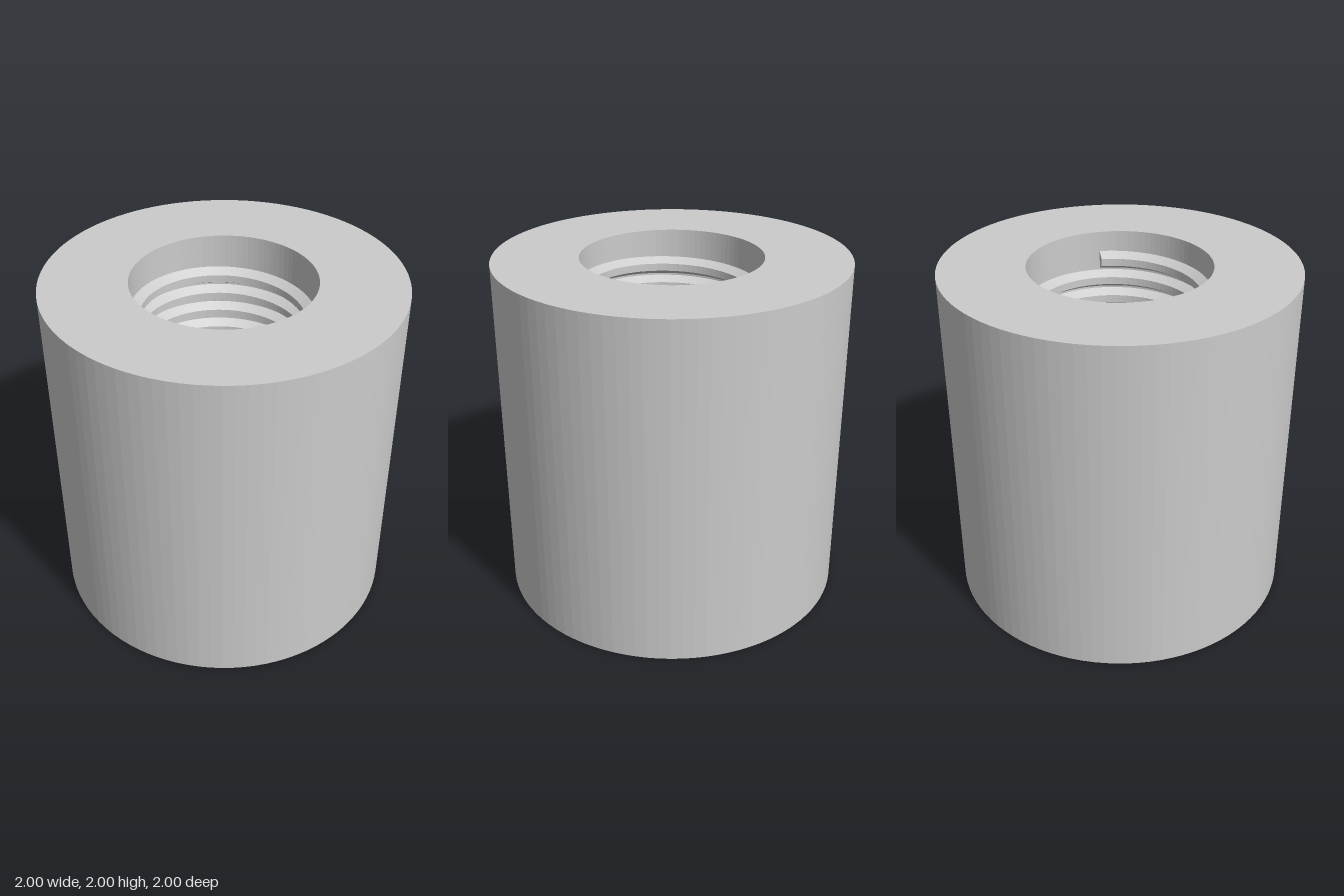
import * as THREE from 'three';

const SIDES = 96;
const BORE = 0.515;   // bore radius
const CREST = 0.462;  // radius at the thread crest

// Helical ridge with a trapezoid section, winding down from +x towards +z
function threadGeometry(topY, pitch, turns) {
  const section = [[BORE + 0.002, -0.054], [CREST, -0.022], [CREST, 0.022], [BORE + 0.002, 0.054]];
  const steps = Math.round(turns * SIDES);
  const positions = [];
  const index = [];
  for (let i = 0; i <= steps; i++) {
    const a = (i / SIDES) * Math.PI * 2;
    const y = topY - (pitch * i) / SIDES;
    for (const [r, dy] of section) positions.push(r * Math.cos(a), y + dy, r * Math.sin(a));
    if (i === steps) break;
    for (let k = 0; k < 3; k++) {
      const p = i * 4 + k;
      index.push(p, p + 4, p + 1, p + 1, p + 4, p + 5);
    }
  }
  // end faces
  const e = steps * 4;
  index.push(0, 1, 2, 0, 2, 3, e, e + 2, e + 1, e, e + 3, e + 2);
  const geometry = new THREE.BufferGeometry();
  geometry.setAttribute('position', new THREE.Float32BufferAttribute(positions, 3));
  geometry.setIndex(index);
  geometry.computeVertexNormals();
  return geometry;
}

export function createModel() {
  const group = new THREE.Group();
  group.name = 'threadedSleeve';
  const material = new THREE.MeshStandardMaterial({ color: 0xcccccc, flatShading: true });

  // Thick round sleeve with a plain through bore
  const profile = [[BORE, 0], [1, 0], [1, 2], [BORE, 2], [BORE, 0]].map(([r, y]) => new THREE.Vector2(r, y));
  const sleeve = new THREE.Mesh(new THREE.LatheGeometry(profile, SIDES), material);
  sleeve.name = 'sleeve';
  group.add(sleeve);

  // Internal screw thread, stopping short of both ends
  const thread = new THREE.Mesh(threadGeometry(1.828, 0.117, 14.14), material);
  thread.name = 'internalThread';
  group.add(thread);

  return group;
}
